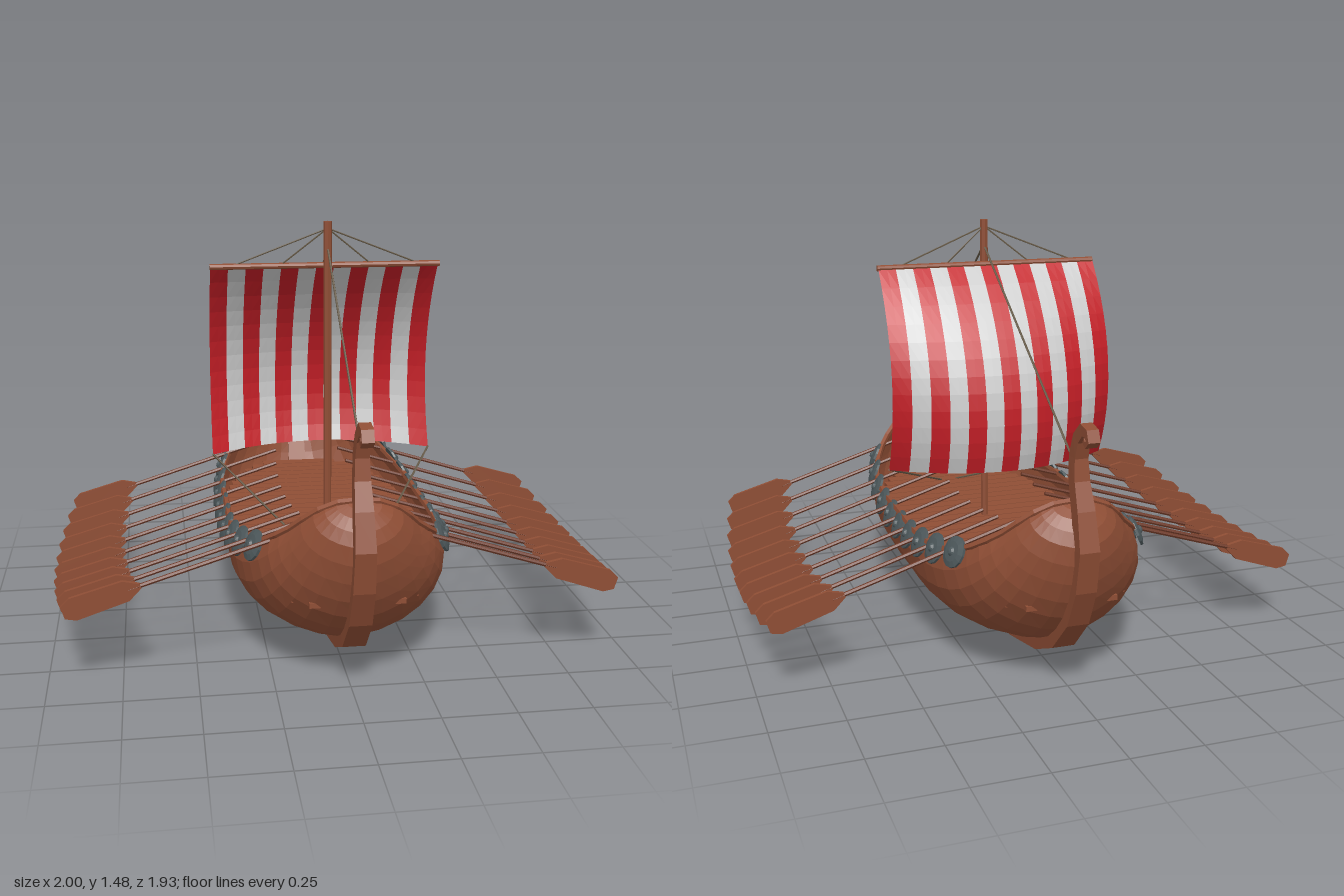
import * as THREE from 'three';

const V = (x, y, z) => new THREE.Vector3(x, y, z);
const lerp = THREE.MathUtils.lerp;
const mat = (color) => new THREE.MeshStandardMaterial({ color, flatShading: true, side: THREE.DoubleSide });
const wood = mat(0x8f4e35), darkWood = mat(0x6f3a28), rope = mat(0x665a48);
const iron = mat(0x4d585b), red = mat(0xc41e26), pale = mat(0xbdbdbd);

function add(parent, name, geometry, material) {
  const mesh = new THREE.Mesh(geometry, material);
  mesh.name = name;
  parent.add(mesh);
  return mesh;
}

// Surface through rows of points
function loft(rows) {
  const n = rows[0].length, index = [];
  for (let i = 0; i < rows.length - 1; i++) {
    for (let j = 0; j < n - 1; j++) {
      const a = i * n + j, b = a + n;
      index.push(a, b, a + 1, b, b + 1, a + 1);
    }
  }
  const indexed = new THREE.BufferGeometry().setFromPoints(rows.flat());
  indexed.setIndex(index);
  const g = indexed.toNonIndexed();
  g.computeVertexNormals();
  return g;
}

// Straight round bar between two points
function bar(parent, name, a, b, r, material, sides = 6) {
  const mesh = add(parent, name, new THREE.CylinderGeometry(r, r, a.distanceTo(b), sides), material);
  mesh.position.copy(a).lerp(b, 0.5);
  mesh.quaternion.setFromUnitVectors(V(0, 1, 0), b.clone().sub(a).normalize());
  return mesh;
}

// Half-length lines from midships to the bow, mirrored to the stern
const mirrorZ = (half) => [...half.slice(1).reverse().map((p) => V(p.x, p.y, -p.z)), ...half];
const keelLine = mirrorZ([
  V(0, 0.05, 0), V(0, 0.055, 0.3), V(0, 0.1, 0.55), V(0, 0.16, 0.7), V(0, 0.28, 0.83),
  V(0, 0.42, 0.9), V(0, 0.55, 0.915), V(0, 0.63, 0.87), V(0, 0.67, 0.8)]);
const gunwaleLine = mirrorZ([
  V(0.37, 0.42, 0), V(0.37, 0.42, 0.25), V(0.355, 0.43, 0.42), V(0.32, 0.46, 0.56), V(0.27, 0.51, 0.66),
  V(0.21, 0.56, 0.72), V(0.14, 0.63, 0.78), V(0.07, 0.665, 0.8), V(0, 0.67, 0.8)]);

function buildHull(ship) {
  const keel = new THREE.CatmullRomCurve3(keelLine), gunwale = new THREE.CatmullRomCurve3(gunwaleLine);
  const rows = [], stations = 32;
  for (let i = 0; i <= stations; i++) {
    const k = keel.getPoint(i / stations), g = gunwale.getPoint(i / stations);
    const side = new THREE.CubicBezierCurve3(k,
      V(g.x * 0.73, lerp(k.y, g.y, 0.05), lerp(k.z, g.z, 0.2)),
      V(g.x * 1.16, lerp(k.y, g.y, 0.5), lerp(k.z, g.z, 0.6)), g).getPoints(7);
    rows.push([...side.slice(1).reverse().map((p) => V(-p.x, p.y, p.z)), ...side]);
  }
  add(ship, 'hull', loft(rows), wood);

  // Rail round the opening
  const loop = [...gunwaleLine, ...gunwaleLine.slice(1, -1).reverse().map((p) => V(-p.x, p.y, p.z))];
  add(ship, 'gunwale', new THREE.TubeGeometry(new THREE.CatmullRomCurve3(loop, true), 64, 0.012, 5, true), wood);

  // Crosswise deck planks
  for (let i = -14; i <= 14; i++) {
    const z = i * 0.056;
    const w = 0.365 * Math.sqrt(1 - Math.pow(Math.abs(z) / 0.85, 2.6));
    add(ship, 'deckPlank', new THREE.BoxGeometry(2 * w, 0.018, 0.05), wood).position.set(0, 0.325, z);
  }
}

// Keel rising into a curled post at each end: z, y, half depth, half width
function buildKeel(ship) {
  const half = [
    [0, 0.027, 0.024, 0.04], [0.3, 0.03, 0.025, 0.04], [0.57, 0.09, 0.024, 0.04], [0.72, 0.16, 0.024, 0.04],
    [0.84, 0.283, 0.024, 0.038], [0.9, 0.41, 0.024, 0.036], [0.923, 0.545, 0.025, 0.034],
    [0.887, 0.66, 0.027, 0.03], [0.85, 0.75, 0.026, 0.026], [0.84, 0.83, 0.025, 0.023],
    [0.863, 0.895, 0.022, 0.021], [0.903, 0.932, 0.02, 0.02], [0.94, 0.928, 0.015, 0.02],
    [0.953, 0.905, 0.011, 0.02], [0.937, 0.891, 0.01, 0.02], [0.92, 0.903, 0.009, 0.02]];
  const path = [...half.slice(1).reverse().map(([z, ...r]) => [-z, ...r]), ...half];
  const rows = path.map(([z, y, h, w], i) => {
    const a = path[Math.max(i - 1, 0)], b = path[Math.min(i + 1, path.length - 1)];
    const len = Math.hypot(b[0] - a[0], b[1] - a[1]);
    const nz = -(b[1] - a[1]) / len * h, ny = (b[0] - a[0]) / len * h;
    return [[w, 1], [-w, 1], [-w, -1], [w, -1], [w, 1]].map(([x, s]) => V(x, y + s * ny, z + s * nz));
  });
  // Close both tips
  const tip = (row) => row.map(() => row[0].clone().lerp(row[2], 0.5));
  add(ship, 'keelAndPosts', loft([tip(rows[0]), ...rows, tip(rows[rows.length - 1])]), wood);
}

function buildShields(ship) {
  const profile = [[0, 0.022], [0.01, 0.02], [0.016, 0.012], [0.035, 0.01], [0.054, 0.003], [0.054, -0.006], [0, -0.006]]
    .map(([x, y]) => new THREE.Vector2(x, y)).reverse();
  const disc = new THREE.LatheGeometry(profile, 14);
  disc.rotateZ(-Math.PI / 2);
  for (const side of [1, -1]) {
    for (let i = 0; i < 10; i++) {
      const z = 0.605 - i * 0.1313, e = Math.abs(z) / 0.6;
      const shield = add(ship, 'shield', disc, iron);
      shield.position.set(side * (0.388 - 0.065 * Math.pow(e, 3)), 0.387 + 0.078 * e * e, z);
      shield.rotation.order = 'YZX';
      const yaw = -Math.sign(z) * 0.3 * e * e;
      shield.rotation.set(0, side > 0 ? yaw : Math.PI - yaw, 0.42);
    }
  }
}

function buildOars(model) {
  const length = 0.885;
  const outline = [[0.62, 0.008], [0.67, 0.036], [0.85, 0.04], [length, 0.022]];
  const shape = new THREE.Shape([...outline, ...outline.slice().reverse().map(([x, y]) => [x, -y])]
    .map(([x, y]) => new THREE.Vector2(x, y)));
  const blade = new THREE.ExtrudeGeometry(shape, { depth: 0.014, bevelEnabled: false });
  blade.translate(0, 0, -0.007);
  for (const side of [1, -1]) {
    const bank = new THREE.Group();
    bank.name = side > 0 ? 'leftOars' : 'rightOars';
    bank.rotation.y = side > 0 ? 0 : Math.PI;
    model.add(bank);
    for (let i = 0; i < 10; i++) {
      const z = -0.53 + i * 0.1325, e = (z / 0.66) ** 2;
      const oar = new THREE.Group();
      oar.name = 'oar';
      bar(oar, 'oarShaft', V(0, 0, 0), V(0.66, 0, 0), 0.0075, darkWood);
      add(oar, 'oarBlade', blade, wood);
      oar.position.set(0.15 - 0.06 * e, 0.472 + 0.08 * e, side * z);
      oar.rotation.z = -0.305;
      bank.add(oar);
    }
  }
}

function buildRig(ship) {
  bar(ship, 'mast', V(0, 0.32, 0.11), V(0, 1.48, 0.11), 0.015, wood, 8);
  bar(ship, 'yard', V(-0.417, 1.32, 0.07), V(0.417, 1.32, 0.07), 0.011, wood, 8);

  // Billowing striped sail
  const sail = new THREE.Group();
  sail.name = 'sail';
  ship.add(sail);
  const half = 0.415, stripes = 13;
  const point = (u, s) => V((2 * u - 1) * half, lerp(1.315, 0.595, s),
    0.055 - 0.095 * s - 0.48 * s * (1 - s) - 0.15 * Math.pow(s, 0.8) * (1 - (2 * u - 1) ** 2));
  for (let i = 0; i < stripes; i++) {
    const rows = [];
    for (let r = 0; r <= 12; r++) rows.push([0, 0.5, 1].map((c) => point((i + c) / stripes, r / 12)));
    add(sail, 'sailStripe', loft(rows), i % 2 ? pale : red);
  }

  // Stays, yard lifts and sheets
  bar(ship, 'foreStay', V(0, 1.39, 0.11), V(0, 0.855, 0.82), 0.004, rope, 5);
  bar(ship, 'backStay', V(0, 1.385, 0.11), V(0, 0.79, -0.82), 0.004, rope, 5);
  for (const side of [1, -1]) {
    for (const x of [0.16, 0.33]) bar(ship, 'yardLift', V(0, 1.455, 0.11), V(side * x, 1.325, 0.07), 0.003, rope, 5);
    bar(ship, 'sheet', V(side * half, 0.597, -0.04), V(side * 0.03, 0.33, 0.61), 0.004, rope, 5);
  }
}

export function createModel() {
  const model = new THREE.Group();
  model.name = 'longship';
  const ship = new THREE.Group();
  ship.name = 'ship';
  ship.position.x = 0.012;
  model.add(ship);
  buildHull(ship);
  buildKeel(ship);
  buildShields(ship);
  buildRig(ship);
  buildOars(model);
  return model;
}
